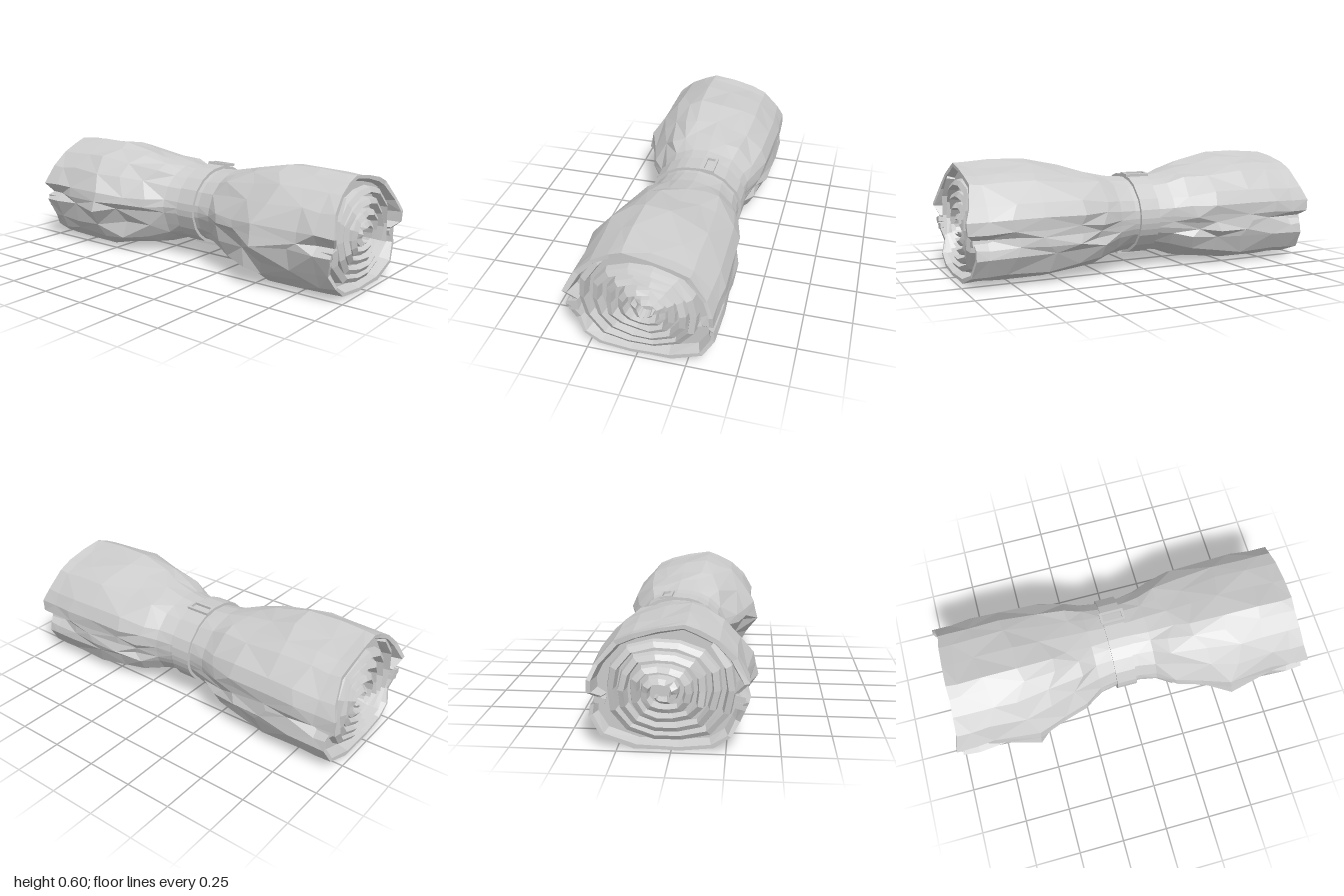
import * as THREE from 'three';

// Rolled outline seen from the end, clockwise from the top: [z, y]
const OUTLINE = [
  [0.07, 0.605], [-0.06, 0.58], [-0.18, 0.55], [-0.26, 0.51], [-0.35, 0.41], [-0.385, 0.34],
  [-0.385, 0.28], [-0.37, 0.245], [-0.39, 0.2], [-0.385, 0.15], [-0.33, 0.06], [-0.17, 0.005],
  [-0.06, 0.003], [0.04, 0], [0.2, 0.015], [0.28, 0.07], [0.33, 0.14], [0.39, 0.24],
  [0.375, 0.29], [0.37, 0.345], [0.31, 0.45], [0.23, 0.53], [0.14, 0.575],
];
const N = OUTLINE.length;
const CZ = -0.03, CY = 0.28;
// How far the end rim flares out, by outline point
const FLARE = { 4: 0.02, 5: 0.045, 6: 0.04, 7: 0.01, 10: 0.015, 11: 0.02, 12: 0.02, 13: 0.02, 14: 0.02, 15: 0.02, 17: 0.025, 18: 0.02, 19: 0.045, 20: 0.015 };
// Notches in the sides close to the ends
const NOTCH = { 7: 0.1, 8: 0.03, 18: 0.13, 17: 0.05 };
// Diagonal folds running from the waist down across the sides: station -> points -> depth
const FOLDS = {
  2: { 17: 0.08, 18: -0.05, 8: 0.06, 6: -0.03 },
  3: { 16: 0.09, 17: 0.02, 15: -0.04, 18: -0.03, 9: 0.06, 8: -0.02 },
  4: { 16: 0.02, 18: -0.015, 9: 0.03, 7: -0.03, 20: 0.02 },
  5: { 17: 0.05, 16: -0.02, 15: 0.03, 19: 0.03, 18: 0.01, 7: -0.02 },
};

const hash = (a, b) => {
  const s = Math.sin(a * 127.1 + b * 311.7) * 43758.5453;
  return (s - Math.floor(s)) * 2 - 1;
};

// Pinched middle section, using the same angles as the full outline
function waistPoint(j, grow) {
  const [z, y] = OUTLINE[j];
  const a = Math.atan2((y - CY) / 0.3, (z - CZ) / 0.38);
  return [-0.053 + (0.247 + grow) * Math.cos(a), 0.287 + (0.206 + grow) * Math.sin(a)];
}

// Half profile: x, fullness, scale about the core, crinkle
const HALF = [
  [0.07, 0, 1, 0], [0.16, 0.1, 1, 0.004], [0.27, 0.4, 1, 0.008], [0.41, 0.65, 1, 0.01],
  [0.58, 1, 1, 0.006], [0.76, 0.93, 1, 0.008], [0.89, 0.91, 1, 0.005], [0.955, 0.9, 1, 0.004],
  [0.955, 0.9, 0.94, 0.003], [0.915, 0.9, 0.89, 0], [0.915, 0.9, 0, 0],
];

function buildBody() {
  const stations = [...HALF.map((h) => [-h[0], ...h.slice(1)]).reverse(), ...HALF];
  const pos = [], idx = [];
  stations.forEach(([x, full, scale, crinkle], i) => {
    const ax = Math.abs(x);
    const k = x > 0 ? i - HALF.length : HALF.length - 1 - i;
    for (let j = 0; j < N; j++) {
      const w = waistPoint(j, 0), o = OUTLINE[j];
      // the back and underside fill out sooner than the front and top
      const f = full + (o[0] < -0.2 || o[1] < 0.1 ? 0.75 * full * (1 - full) : 0);
      const notch = (NOTCH[j] || 0) * THREE.MathUtils.smoothstep(ax, 0.68, 0.94);
      const r = scale * (1 - notch - (FOLDS[k]?.[j] || 0));
      const z = CZ + (w[0] + (o[0] - w[0]) * f - CZ) * r + crinkle * hash(j, k);
      const y = CY + (w[1] + (o[1] - w[1]) * f - CY) * r + crinkle * hash(j + 40, k);
      const rim = ax > 0.94 ? (FLARE[j] || 0.006 * hash(j, 9)) : 0;
      const along = ax > 0.2 && ax < 0.8 ? 0.04 * hash(j + 80, k) : 0;
      pos.push(x + Math.sign(x) * (rim + along), Math.max(y, 0.001), z);
    }
  });
  for (let i = 0; i < stations.length - 1; i++) {
    for (let j = 0; j < N; j++) {
      const a = i * N + j, b = i * N + (j + 1) % N, c = a + N, d = b + N;
      // alternate the diagonals for a crumpled look
      if ((i + j) % 2) idx.push(a, c, b, b, c, d);
      else idx.push(a, c, d, a, d, b);
    }
  }
  return faceted(pos, idx);
}

function faceted(pos, idx) {
  const indexed = new THREE.BufferGeometry();
  indexed.setAttribute('position', new THREE.Float32BufferAttribute(pos, 3));
  indexed.setIndex(idx);
  const g = indexed.toNonIndexed();
  g.computeVertexNormals();
  return g;
}

// Mirror a non-indexed geometry in x, keeping faces outward
function mirrored(geo) {
  const g = geo.clone(), p = g.attributes.position;
  for (let i = 0; i < p.count; i += 3) {
    const v = [0, 2, 1].map((k) => new THREE.Vector3().fromBufferAttribute(geo.attributes.position, i + k));
    v.forEach((q, k) => p.setXYZ(i + k, -q.x, q.y, q.z));
  }
  g.computeVertexNormals();
  return g;
}

// Coiled layers inside each end: a ridge swept along a squarish spiral
function buildCoil() {
  const pos = [], idx = [], turns = 4.6, per = 14, steps = Math.round(turns * per);
  // ridge section: offset across the layer, x
  const section = [[0.026, 0.9], [0.016, 0.95], [-0.012, 0.965], [-0.024, 0.9]];
  const M = section.length;
  for (let i = 0; i <= steps; i++) {
    const u = i / steps, a = 0.9 - (i / per) * Math.PI * 2;
    const c = Math.cos(a), s = Math.sin(a);
    const sq = Math.pow(c ** 4 + s ** 4, -0.15);
    const r = (1 - 0.9 * u) * (1 + 0.025 * hash(i, 3));
    const oz = THREE.MathUtils.lerp(-0.015, -0.045, u), oy = THREE.MathUtils.lerp(0.292, 0.262, u);
    const taper = Math.min(1, (1 - u) * 8 + 0.3);
    for (const [t, x] of section) {
      const lift = x > 0.92 ? 0.01 * hash(i, 7) : 0;
      pos.push(x + lift, oy + (0.25 * r + t * taper * 0.85) * sq * s, oz + (0.292 * r + t * taper) * sq * c);
    }
  }
  for (let i = 0; i < steps; i++) {
    for (let k = 0; k < M - 1; k++) {
      const a = i * M + k, b = a + 1, c = a + M, d = b + M;
      idx.push(a, c, b, b, c, d);
    }
  }
  const last = steps * M;
  idx.push(0, 1, 2, 0, 2, 3, last, last + 2, last + 1, last, last + 3, last + 2);
  return faceted(pos, idx);
}

// Small folded layer peeking out of the side notch
function buildFold(y, z, reach) {
  const g = new THREE.BoxGeometry(0.16, 0.03, 0.05).toNonIndexed();
  const p = g.attributes.position;
  for (let i = 0; i < p.count; i++) {
    if (p.getX(i) < 0) p.setXYZ(i, p.getX(i), p.getY(i) * 0.3, p.getZ(i) * 0.5);
  }
  g.rotateX(0.25);
  g.translate(reach - 0.08, y, z);
  g.computeVertexNormals();
  return g;
}

// Band around the pinched middle
function buildStrap() {
  const ring = (grow) => OUTLINE.map((_, j) => {
    const [z, y] = waistPoint(j, grow);
    return new THREE.Vector2(-z, y);
  });
  const shape = new THREE.Shape(ring(0.016));
  shape.holes.push(new THREE.Path(ring(-0.01)));
  const g = new THREE.ExtrudeGeometry(shape, { depth: 0.11, bevelEnabled: false });
  g.rotateY(Math.PI / 2);
  g.translate(-0.065, 0, 0);
  return g;
}

// Rectangular buckle frame lying flat, made of four bars
function buildBuckle(name, mat, w, d, bar) {
  const group = new THREE.Group();
  group.name = name;
  const add = (part, sx, sz, x, z) => {
    const m = new THREE.Mesh(new THREE.BoxGeometry(sx, bar, sz), mat);
    m.name = part;
    m.position.set(x, 0, z);
    group.add(m);
  };
  for (const s of [-1, 1]) {
    add('buckleBar', w, bar, 0, s * (d - bar) / 2);
    add('buckleSide', bar, d, s * (w - bar) / 2, 0);
  }
  return group;
}

export function createModel() {
  const model = new THREE.Group();
  model.name = 'bedroll';
  const cloth = new THREE.MeshStandardMaterial({ color: 0xcccccc, flatShading: true });
  cloth.name = 'light grey cloth';
  const add = (name, geo) => {
    const m = new THREE.Mesh(geo, cloth);
    m.name = name;
    model.add(m);
  };

  add('rolledBlanket', buildBody());
  const coil = buildCoil();
  add('leftCoil', coil);
  add('rightCoil', mirrored(coil));
  for (const [y, z, reach] of [[0.225, 0.315, 0.975], [0.262, 0.31, 0.985], [0.23, -0.325, 0.965]]) {
    const fold = buildFold(y, z, reach);
    add('leftFold', fold);
    add('rightFold', mirrored(fold));
  }
  add('strap', buildStrap());

  // buckles on the top and underside of the strap
  const top = buildBuckle('topBuckle', cloth, 0.135, 0.07, 0.014);
  top.position.set(-0.008, 0.508, -0.12);
  top.rotation.x = -0.1;
  const bottom = buildBuckle('bottomBuckle', cloth, 0.165, 0.075, 0.018);
  bottom.position.set(-0.012, 0.067, -0.03);
  model.add(top, bottom);
  return model;
}
